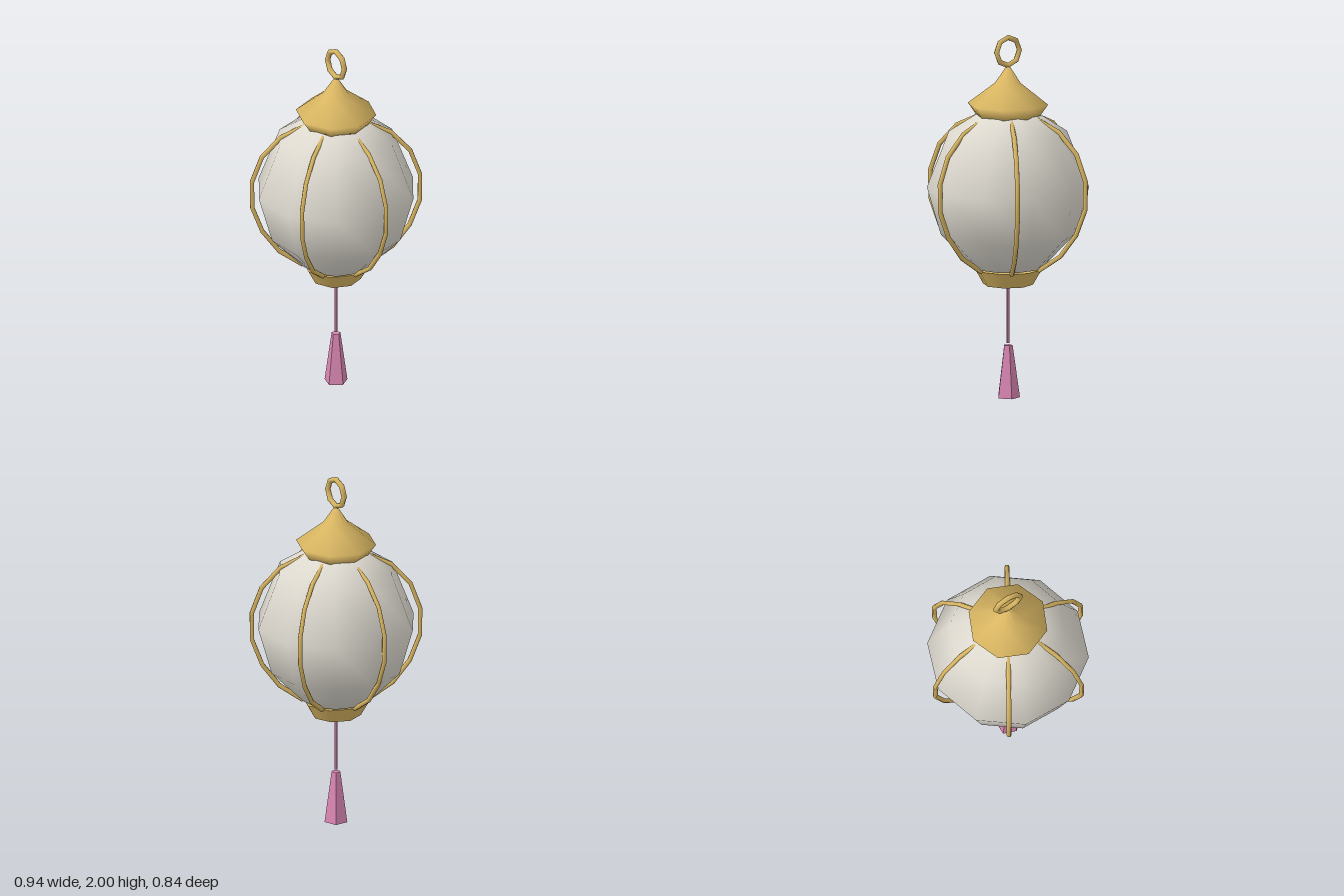
import * as THREE from 'three';

const material = (name, color, extra = {}) => {
  const m = new THREE.MeshStandardMaterial({ color, ...extra });
  m.name = name;
  return m;
};

export function createModel() {
  const gold = material('gold', 0xd9b662);
  const paper = material('paper', 0xdedad0, { side: THREE.DoubleSide });
  const pink = material('pink', 0xd986b2, { flatShading: true });
  const group = new THREE.Group();
  group.name = 'lantern';

  const add = (name, geometry, mat, y = 0, parent = group) => {
    const mesh = new THREE.Mesh(geometry, mat);
    mesh.name = name;
    mesh.position.y = y;
    parent.add(mesh);
    return mesh;
  };
  const profile = (points) => points.map(([x, y]) => new THREE.Vector2(x, y));

  // Ten-sided paper globe
  add('globe', new THREE.LatheGeometry(profile([
    [0, 0.7], [0.19, 0.72], [0.365, 0.9], [0.44, 1.16], [0.32, 1.47], [0.16, 1.57], [0, 1.6],
  ]), 10).rotateY(Math.PI / 2), paper);

  // Octagonal roof cap and tapered base
  add('cap', new THREE.LatheGeometry(profile([
    [0, 1.555], [0.175, 1.555], [0.22, 1.62], [0.07, 1.735], [0, 1.84],
  ]), 8), gold);
  add('base', new THREE.CylinderGeometry(0.185, 0.137, 0.085, 8), gold, 0.6675);

  // Hanging ring
  add('hangingRing', new THREE.TorusGeometry(0.077, 0.015, 6, 8), gold, 1.908);

  // Six curved ribs around the globe
  const ribCurve = new THREE.CatmullRomCurve3([
    [0.16, 1.55], [0.325, 1.465], [0.43, 1.32], [0.465, 1.14], [0.425, 0.97], [0.315, 0.805], [0.18, 0.71],
  ].map(([x, y]) => new THREE.Vector3(x, y, 0)));
  const ribGeometry = new THREE.TubeGeometry(ribCurve, 7, 0.013, 6);
  const ribs = new THREE.Group();
  ribs.name = 'ribs';
  group.add(ribs);
  for (let i = 0; i < 6; i++) {
    add('rib', ribGeometry, gold, 0, ribs).rotation.y = (i * Math.PI) / 3;
  }

  // Cord and five-sided tassel
  add('cord', new THREE.CylinderGeometry(0.009, 0.009, 0.33, 6), pink, 0.465);
  add('tassel', new THREE.CylinderGeometry(0.025, 0.065, 0.288, 5).rotateY(Math.PI / 2), pink, 0.144);

  return group;
}
